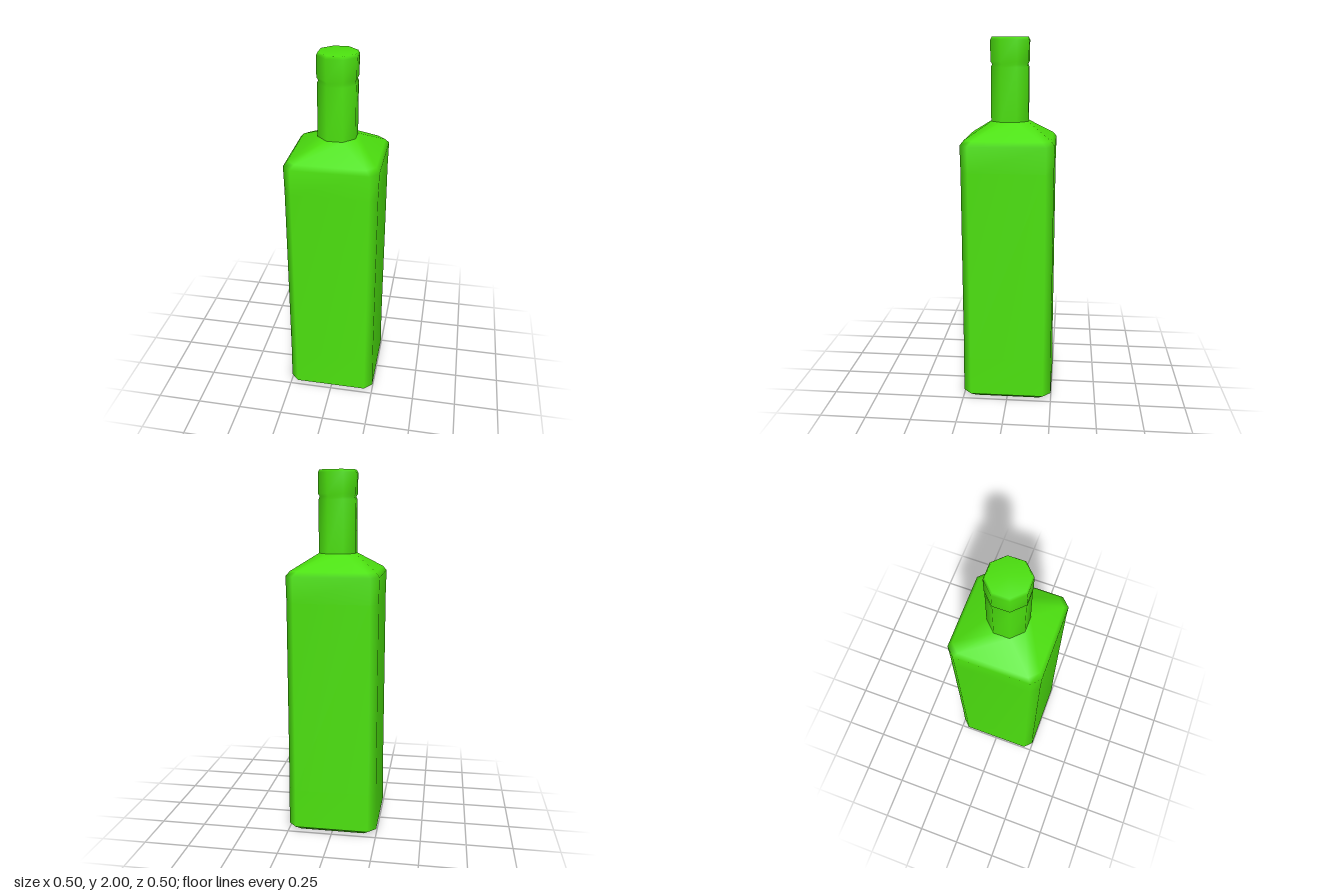
import * as THREE from 'three';

// Smooth skin through chamfered-square rings [y, half width, half flat];
// cap ends are closed with a fan.
function loft(rings, { bottom = false, top = false } = {}) {
  const pos = [], idx = [], n = 8;
  for (const [y, h, f] of rings) {
    const ring = [[h, -f], [h, f], [f, h], [-f, h], [-h, f], [-h, -f], [-f, -h], [f, -h]];
    for (const [x, z] of ring) pos.push(x, y, z);
  }
  for (let j = 0; j < rings.length - 1; j++) {
    for (let i = 0; i < n; i++) {
      const a = j * n + i, b = j * n + (i + 1) % n;
      idx.push(a, a + n, b, b, a + n, b + n);
    }
  }
  const fan = (j, up) => {
    const c = pos.length / 3;
    pos.push(0, rings[j][0], 0);
    for (let i = 0; i < n; i++) {
      const a = j * n + i, b = j * n + (i + 1) % n;
      if (up) idx.push(c, b, a);
      else idx.push(c, a, b);
    }
  };
  if (bottom) fan(0, false);
  if (top) fan(rings.length - 1, true);
  const g = new THREE.BufferGeometry();
  g.setAttribute('position', new THREE.Float32BufferAttribute(pos, 3));
  g.setIndex(idx);
  g.computeVertexNormals();
  return g;
}

export function createModel() {
  const model = new THREE.Group();
  model.name = 'bottle';
  const glass = new THREE.MeshStandardMaterial({ color: 0x4ce00f });
  glass.name = 'green glass';

  const add = (name, rings, caps) => {
    const mesh = new THREE.Mesh(loft(rings, caps), glass);
    mesh.name = name;
    model.add(mesh);
  };

  // Bevelled underside
  add('base', [[0, 0.21, 0.18], [0.03, 0.25, 0.205]], { bottom: true });

  // Square body running smoothly into the sloping shoulder
  add('body', [
    [0.03, 0.25, 0.205],
    [0.25, 0.247, 0.205],
    [1.31, 0.247, 0.205],
    [1.45, 0.25, 0.205],
    [1.475, 0.23, 0.185],
    [1.56, 0.1, 0.042],
  ]);

  // Octagonal neck with a groove below the stopper
  add('neck', [
    [1.56, 0.1, 0.042],
    [1.845, 0.1, 0.042],
    [1.86, 0.094, 0.039],
    [1.875, 0.102, 0.043],
    [1.985, 0.103, 0.043],
    [2, 0.095, 0.039],
  ], { top: true });

  return model;
}
